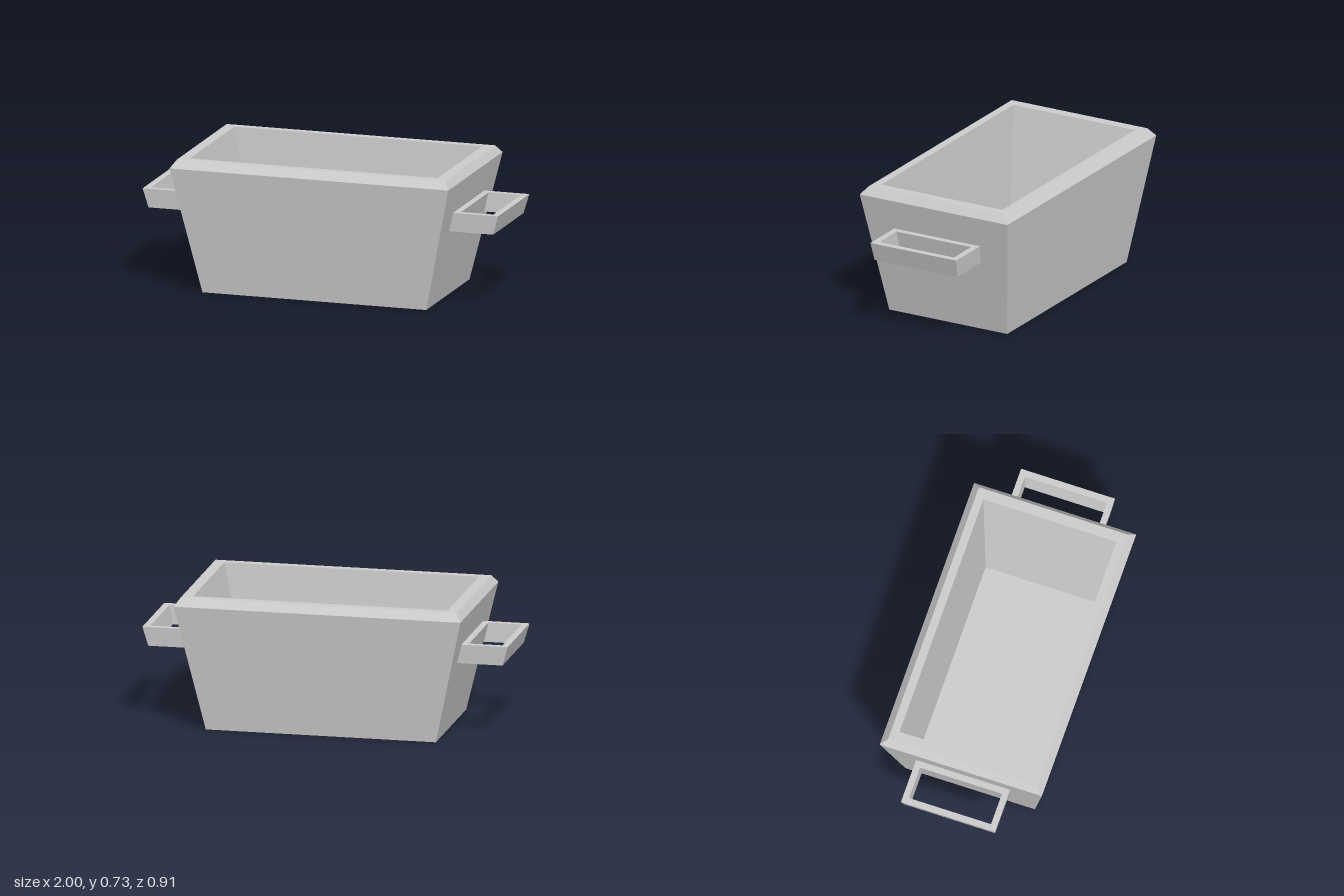
import * as THREE from 'three';

const material = new THREE.MeshStandardMaterial({ color: 0xcccccc, flatShading: true });

// Skin a list of level rectangles [y, xMin, xMax, halfDepth]; optionally cap both ends
function loftRectangles(name, sections, capped) {
  const loops = sections.map(([y, x0, x1, z]) => [
    [x1, y, z], [x1, y, -z], [x0, y, -z], [x0, y, z],
  ]);
  const positions = [];
  const quad = (a, b, c, d) => positions.push(...a, ...b, ...c, ...a, ...c, ...d);
  for (let s = 0; s < loops.length - 1; s++) {
    const lower = loops[s], upper = loops[s + 1];
    for (let i = 0; i < 4; i++) {
      const j = (i + 1) % 4;
      quad(lower[i], lower[j], upper[j], upper[i]);
    }
  }
  if (capped) {
    const [a, b, c, d] = loops[0];
    quad(d, c, b, a);
    quad(...loops[loops.length - 1]);
  }
  const geometry = new THREE.BufferGeometry();
  geometry.setAttribute('position', new THREE.Float32BufferAttribute(positions, 3));
  geometry.computeVertexNormals();
  const mesh = new THREE.Mesh(geometry, material);
  mesh.name = name;
  return mesh;
}

export function createModel() {
  const model = new THREE.Group();
  model.name = 'planterBox';

  // Tapered trough: outside wall, bevelled rim, inside wall, floor
  model.add(loftRectangles('trough', [
    [0, -0.63, 0.63, 0.365],
    [0.69, -0.785, 0.785, 0.457],
    [0.733, -0.755, 0.755, 0.42],
    [0.733, -0.697, 0.697, 0.375],
    [0.09, -0.557, 0.557, 0.315],
  ], true));

  // Hollow rectangular handles, one on each end
  for (const side of ['left', 'right']) {
    const outerBottom = [0.415, 0.715, 0.97, 0.256];
    const handle = loftRectangles(side + 'Handle', [
      outerBottom,
      [0.52, 0.74, 1.0, 0.265],
      [0.52, 0.782, 0.964, 0.231],
      [0.415, 0.758, 0.943, 0.225],
      outerBottom,
    ], false);
    if (side === 'right') handle.rotation.y = Math.PI;
    model.add(handle);
  }
  return model;
}
